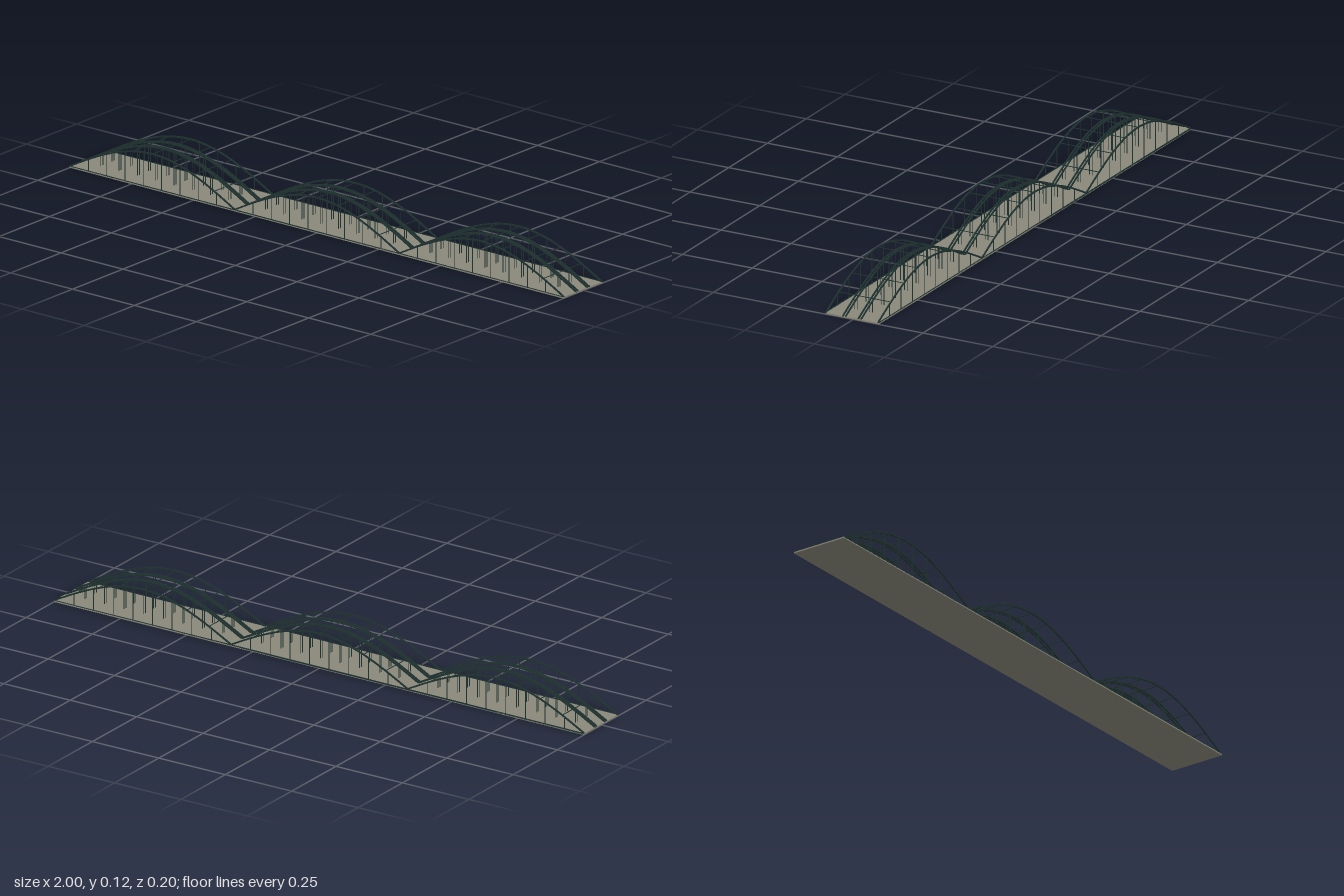
import * as THREE from 'three';

const SPANS = 3, SPAN = 2 / 3, DECK = 0.005, RISE = 0.111;
const steel = new THREE.MeshStandardMaterial({ color: 0x1f3331 });
const concrete = new THREE.MeshStandardMaterial({ color: 0x8a887a });

// Height of the arch centre line at fraction t of a span
const archY = (t) => DECK + RISE * Math.sin(Math.PI * t);

function box(parent, name, size, pos, material = steel) {
  const mesh = new THREE.Mesh(new THREE.BoxGeometry(...size), material);
  mesh.position.set(...pos);
  mesh.name = name;
  parent.add(mesh);
}

// Sine arch band, extruded across its width and centred on z = 0
function ribGeometry(width, thick, steps = 32) {
  const upper = [], lower = [];
  for (let i = 0; i <= steps; i++) {
    const t = i / steps, x = (t - 0.5) * SPAN;
    const slope = (RISE * Math.PI / SPAN) * Math.cos(Math.PI * t);
    const half = (thick / 2) * Math.hypot(1, slope);
    upper.push(new THREE.Vector2(x, archY(t) + half));
    lower.unshift(new THREE.Vector2(x, archY(t) - half));
  }
  const shape = new THREE.Shape([...upper, ...lower]);
  return new THREE.ExtrudeGeometry(shape, { depth: width, bevelEnabled: false }).translate(0, 0, -width / 2);
}

export function createModel() {
  const model = new THREE.Group();
  model.name = 'archBridge';
  const bridge = new THREE.Group();
  bridge.name = 'bridge';
  bridge.rotation.y = -0.0045; // slight skew of the roadway
  model.add(bridge);

  // Roadway slab with dark edge girders
  box(bridge, 'deck', [2, 0.0045, 0.194], [0, 0.00225, 0], concrete);
  for (const s of [-1, 1]) box(bridge, 'edgeGirder', [2, 0.004, 0.003], [0, 0.004, s * 0.0955]);

  // Single outer ribs and twin inner ribs
  const ribs = [0.0935, 0.0325, 0.0225];
  const ribGeo = ribGeometry(0.0036, 0.005);
  const lines = [...ribs, ...ribs.map((z) => -z)];

  for (let s = 0; s < SPANS; s++) {
    const span = new THREE.Group();
    span.name = 'span';
    span.position.x = (s - (SPANS - 1) / 2) * SPAN;
    bridge.add(span);

    for (const z of lines) {
      const rib = new THREE.Mesh(ribGeo, steel);
      rib.name = 'archRib';
      rib.position.z = z;
      span.add(rib);

      // Hangers from rib to deck
      for (let k = 1; k < 9; k++) {
        const t = k / 9, h = archY(t) - DECK;
        box(span, 'hanger', [0.0018, h, 0.0018], [(t - 0.5) * SPAN, DECK + h / 2, z]);
      }
    }

    // Cross beams tying the ribs together
    for (let k = 1; k < 8; k++) {
      const t = k / 8;
      box(span, 'crossBeam', [0.002, 0.002, 0.187], [(t - 0.5) * SPAN, archY(t), 0]);
    }
  }
  return model;
}
